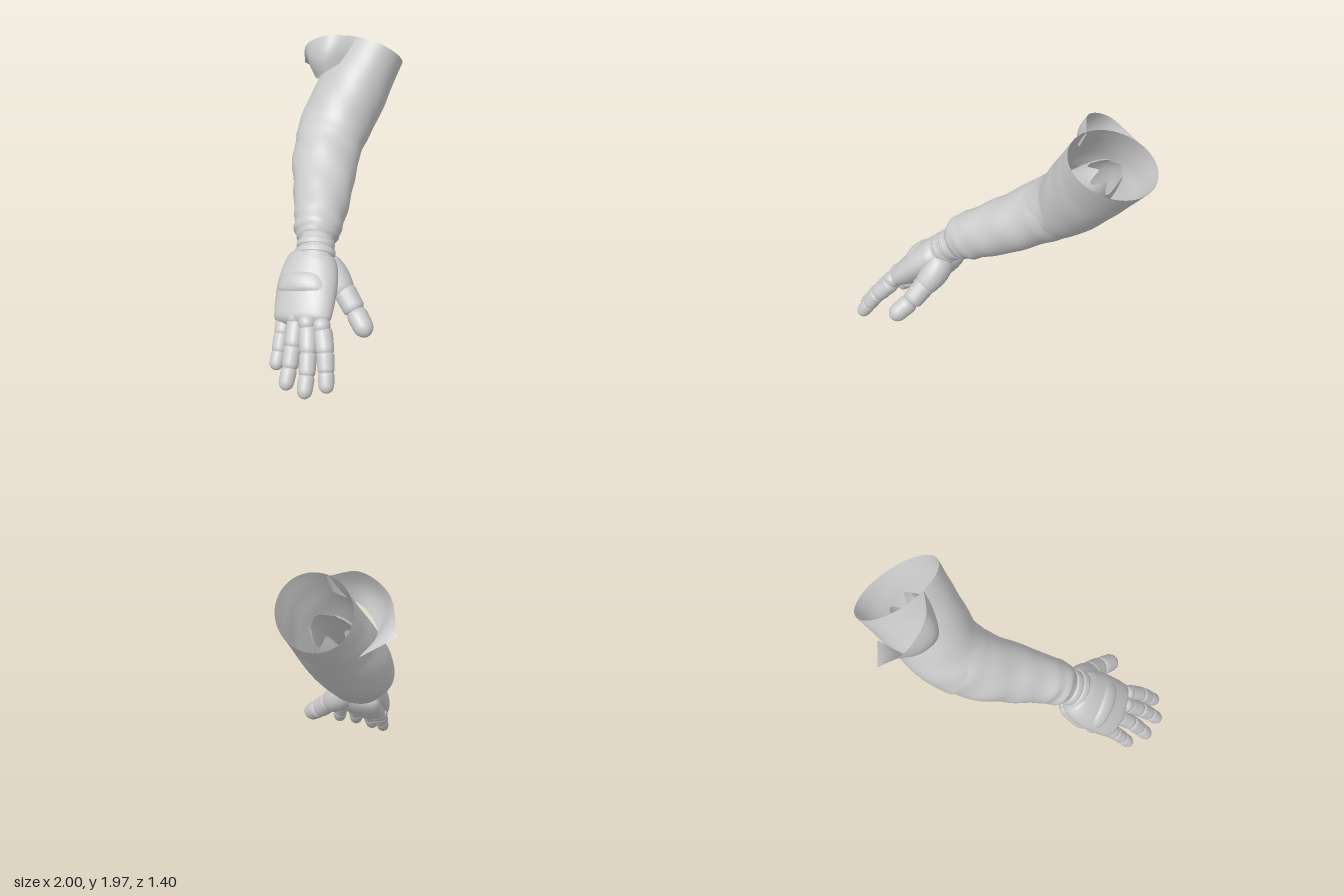
import * as THREE from 'three';

const grey = new THREE.MeshStandardMaterial({ color: 0xcacaca, side: THREE.DoubleSide });
grey.name = 'plain grey';

// Grid of points f(u, v) as a smooth surface; v wraps round when closed
function surface(name, f, rows, cols, closed) {
  const pos = [], idx = [], n = closed ? cols : cols + 1;
  for (let j = 0; j <= rows; j++)
    for (let i = 0; i < n; i++) pos.push(...f(j / rows, i / cols).toArray());
  for (let j = 0; j < rows; j++)
    for (let i = 0; i < cols; i++) {
      const a = j * n + i, b = j * n + ((i + 1) % n), c = a + n, d = b + n;
      idx.push(a, b, c, b, d, c);
    }
  const g = new THREE.BufferGeometry();
  g.setAttribute('position', new THREE.Float32BufferAttribute(pos, 3));
  g.setIndex(idx);
  g.computeVertexNormals();
  const m = new THREE.Mesh(g, grey);
  m.name = name;
  return m;
}

// Limb through stations [x, y, z, palm-side radius, side radius, skew]
function limb(name, stations, { rows = 24, cols = 28, round = 0, wrinkle, edge } = {}) {
  const path = new THREE.CatmullRomCurve3(stations.map(s => new THREE.Vector3(s[0], s[1], s[2])));
  const size = new THREE.CatmullRomCurve3(
    stations.map(s => new THREE.Vector3(s[3], s[4], s[5] || 0)), false, 'catmullrom', 0.4);
  return surface(name, (t, v) => {
    const a = v * Math.PI * 2;
    let u = round ? (1 - Math.cos(t * Math.PI)) / 2 : t;
    if (edge) u = edge(u, a);
    const T = path.getTangent(u);
    const ref = Math.abs(T.z) > 0.9 ? new THREE.Vector3(1, 0, 0) : new THREE.Vector3(0, 0, 1);
    const B = ref.addScaledVector(T, -ref.dot(T)).normalize();
    const N = B.clone().cross(T);
    const s = size.getPoint(u);
    const e = Math.min(u, 1 - u);
    let k = round && e < round ? Math.sqrt(Math.max(0, 1 - (1 - e / round) ** 2)) : 1;
    if (wrinkle) k *= 1 + wrinkle(u, a);
    return path.getPoint(u)
      .addScaledVector(N, s.x * k * Math.cos(a))
      .addScaledVector(B, s.y * k * (Math.sin(a) * Math.sqrt(1 - s.z * s.z) + s.z * Math.cos(a)));
  }, rows, cols, true);
}

// Digit made of rounded segments that meet at visible joints
function digit(name, points, radii) {
  const g = new THREE.Group();
  g.name = name;
  for (let i = 0; i < points.length - 1; i++) {
    const p = new THREE.Vector3(...points[i]), q = new THREE.Vector3(...points[i + 1]);
    const d = q.clone().sub(p).normalize();
    p.addScaledVector(d, -0.025);
    if (i < points.length - 2) q.addScaledVector(d, 0.02);
    const m = p.clone().lerp(q, 0.5), r = radii[i], r2 = radii[i + 1];
    g.add(limb(name + 'Segment', [
      [...p.toArray(), r, r], [...m.toArray(), (r + r2) / 2, (r + r2) / 2], [...q.toArray(), r2, r2],
    ], { rows: 14, cols: 16, round: i === points.length - 2 ? 0.32 : 0.22 }));
  }
  return g;
}

export function createModel() {
  const arm = new THREE.Group();
  arm.name = 'sleevedArm';

  // Upper sleeve, open at the shoulder, with a ragged lower edge
  arm.add(limb('upperSleeve', [
    [0.785, 1.805, -0.22, 0.272, 0.3, -0.28],
    [0.685, 1.675, -0.227, 0.265, 0.29, -0.22],
    [0.565, 1.525, -0.235, 0.26, 0.28, -0.1],
    [0.41, 1.335, -0.25, 0.243, 0.268],
    [0.25, 1.2, -0.215, 0.225, 0.25],
  ], {
    rows: 36, cols: 56,
    edge: (u, a) => u * (0.93 + 0.04 * Math.sin(a * 3 + 1) + 0.025 * Math.sin(a * 7)),
    wrinkle: (u, a) => 0.018 * u * Math.sin(a * 3 + u * 9) * Math.sin(u * 14 + a),
  }));

  // Forearm sleeve with folds gathering towards the wrist
  arm.add(limb('forearmSleeve', [
    [0.46, 1.38, -0.25, 0.22, 0.24],
    [0.36, 1.29, -0.24, 0.228, 0.25],
    [0.2, 1.16, -0.18, 0.22, 0.242],
    [0, 1.01, -0.05, 0.203, 0.21],
    [-0.2, 0.885, 0.075, 0.182, 0.172],
    [-0.29, 0.825, 0.125, 0.163, 0.158],
    [-0.335, 0.79, 0.15, 0.118, 0.128],
  ], {
    rows: 64, cols: 56,
    wrinkle: (u, a) => 0.035 * u * Math.sin(u * 42 + 2 * Math.sin(a + 1)) * (0.6 + 0.4 * Math.sin(a * 2))
      + 0.022 * Math.sin(a * 3 + u * 12) * Math.sin(u * 17 + a),
  }));

  // Turned-out flap behind the shoulder opening
  const curve = pts => new THREE.CatmullRomCurve3(pts.map(p => new THREE.Vector3(...p)));
  const rim = curve([[0.58, 1.96, -0.18], [0.45, 1.98, -0.34], [0.45, 1.88, -0.55], [0.6, 1.68, -0.7]]);
  const hem = curve([[0.52, 1.84, -0.19], [0.385, 1.72, -0.33], [0.48, 1.62, -0.49], [0.75, 1.56, -0.52]]);
  arm.add(surface('shoulderFlap', (u, v) => {
    const p = rim.getPoint(u).lerp(hem.getPoint(u), v);
    p.x -= 0.04 * Math.sin(v * Math.PI) * Math.sin(u * Math.PI);
    return p;
  }, 28, 6, false));

  // Torn lining inside the opening
  arm.add(limb('tornLining', [
    [0.74, 1.72, -0.28, 0.07, 0.11], [0.66, 1.63, -0.27, 0.12, 0.15],
    [0.58, 1.53, -0.27, 0.15, 0.17], [0.48, 1.4, -0.26, 0.18, 0.2],
  ], {
    rows: 12, cols: 30,
    edge: (u, a) => u + (1 - u) * (0.18 + 0.14 * Math.sin(a * 5) + 0.04 * Math.sin(a * 3)),
  }));

  // Wrist, narrow band and glove cuff
  arm.add(limb('wrist', [
    [-0.29, 0.81, 0.13, 0.1, 0.11], [-0.36, 0.75, 0.175, 0.112, 0.122], [-0.44, 0.68, 0.215, 0.115, 0.135],
  ], { rows: 8 }));
  [[-0.355, 0.755, 0.165, 0.12, 0.133], [-0.395, 0.717, 0.19, 0.122, 0.145]].forEach(([x, y, z, a, b]) =>
    arm.add(limb('cuffBand', [
      [x + 0.025, y + 0.023, z - 0.015, a, b], [x, y, z, a, b], [x - 0.025, y - 0.023, z + 0.015, a, b],
    ], { rows: 14, round: 0.25 })));

  // Hand body, heel and pad of the palm, and plate over the back of the hand
  arm.add(limb('palm', [
    [-0.385, 0.725, 0.175, 0.115, 0.15],
    [-0.44, 0.66, 0.195, 0.13, 0.195],
    [-0.53, 0.565, 0.235, 0.13, 0.22],
    [-0.63, 0.455, 0.285, 0.114, 0.22],
    [-0.72, 0.355, 0.33, 0.09, 0.205],
  ], { rows: 30, cols: 36, round: 0.1 }));
  arm.add(limb('palmHeel', [
    [-0.35, 0.69, 0.16, 0.07, 0.14],
    [-0.4, 0.585, 0.185, 0.088, 0.18],
    [-0.48, 0.48, 0.22, 0.082, 0.2],
    [-0.58, 0.38, 0.25, 0.06, 0.19],
  ], { rows: 24, cols: 32, round: 0.2 }));
  arm.add(limb('palmPad', [
    [-0.61, 0.38, 0.06, 0.065, 0.065], [-0.6, 0.385, 0.24, 0.075, 0.075], [-0.61, 0.39, 0.46, 0.06, 0.06],
  ], { rows: 16, cols: 20, round: 0.25 }));
  arm.add(limb('handBackPlate', [
    [-0.51, 0.64, 0.2, 0.1, 0.15], [-0.57, 0.57, 0.235, 0.115, 0.19], [-0.63, 0.5, 0.265, 0.1, 0.19],
  ], { rows: 16, round: 0.3 }));

  // Fingers from index to little, each preceded by a knuckle
  const fingers = [
    ['indexFinger', [-0.69, 0.37, 0.49], [-0.77, 0.26, 0.575], [-0.82, 0.165, 0.62], [-0.88, 0.055, 0.67]],
    ['middleFinger', [-0.73, 0.38, 0.4], [-0.825, 0.25, 0.475], [-0.895, 0.14, 0.52], [-0.98, 0.02, 0.56]],
    ['ringFinger', [-0.72, 0.38, 0.29], [-0.825, 0.25, 0.345], [-0.895, 0.14, 0.375], [-0.98, 0.02, 0.4]],
    ['littleFinger', [-0.67, 0.38, 0.16], [-0.765, 0.265, 0.2], [-0.825, 0.175, 0.225], [-0.9, 0.075, 0.25]],
  ];
  fingers.forEach(([name, ...pts], i) => {
    const s = i === 3 ? 0.92 : 1;
    arm.add(digit(name, pts, [0.066, 0.06, 0.056, 0.05].map(r => r * s)));
    const k = new THREE.Mesh(new THREE.SphereGeometry(0.06 * s, 18, 12), grey);
    k.name = 'knuckle';
    k.position.set(pts[0][0], pts[0][1] + 0.03, pts[0][2] - 0.01);
    arm.add(k);
  });

  // Thumb with its broad base
  arm.add(limb('thumbBase', [
    [-0.36, 0.68, 0.23, 0.085, 0.095], [-0.36, 0.58, 0.33, 0.1, 0.105], [-0.385, 0.465, 0.455, 0.078, 0.078],
  ], { rows: 18, cols: 22, round: 0.2 }));
  arm.add(digit('thumb', [[-0.37, 0.51, 0.42], [-0.4, 0.4, 0.54], [-0.46, 0.29, 0.69]],
    [0.08, 0.075, 0.066]));

  // Stand on the ground, centred
  const box = new THREE.Box3().setFromObject(arm), c = box.getCenter(new THREE.Vector3());
  arm.position.set(-c.x, -box.min.y, -c.z);
  return arm;
}
